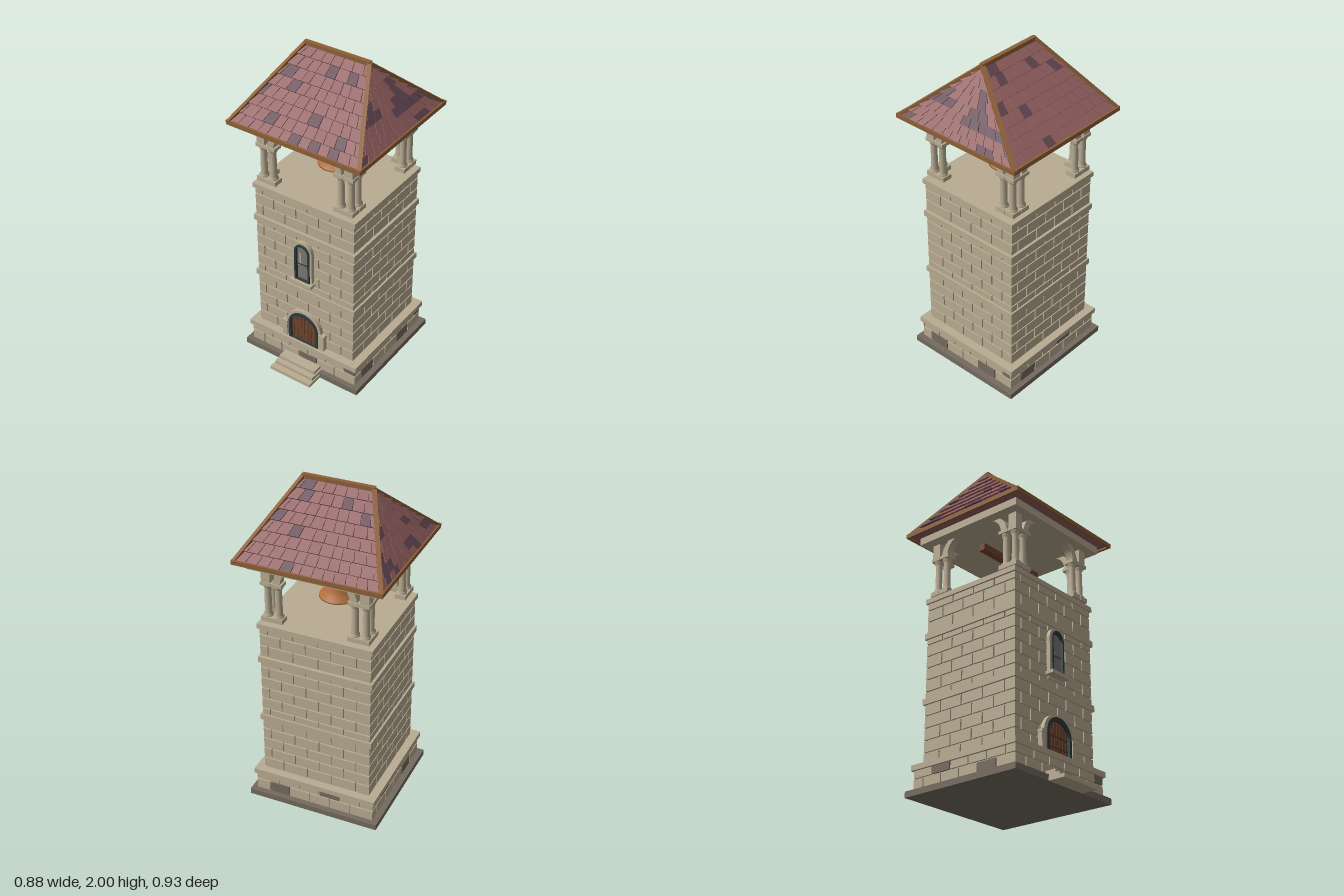
import * as THREE from 'three';
import { mergeGeometries } from 'three/addons/utils/BufferGeometryUtils.js';

const mat = (name, color) => {
  const m = new THREE.MeshStandardMaterial({ color });
  m.name = name;
  return m;
};

export function createModel() {
  const M = {
    stone: mat('stone', 0xb9ac92), dark: mat('darkStone', 0x756b5f),
    tile: mat('roofTile', 0x915e5e), purple: mat('purpleTile', 0x634653),
    trim: mat('roofTrim', 0x8e6038), bell: mat('copper', 0xb26f3e),
    wood: mat('redWood', 0x74432f), frame: mat('darkFrame', 0x2f3b3c),
    glass: mat('glass', 0x7a7770), iron: mat('clapperBrown', 0x5c4028),
  };
  const model = new THREE.Group();
  model.name = 'bellTower';
  const tower = new THREE.Group();
  tower.name = 'tower';
  tower.position.z = -0.03;
  model.add(tower);

  let seed = 11;
  const rand = () => (seed = (seed * 16807) % 2147483647) / 2147483647;
  const add = (name, geo, m, parent = tower) => {
    const mesh = new THREE.Mesh(geo, m);
    mesh.name = name;
    parent.add(mesh);
    return mesh;
  };
  // box given by its ranges on each axis
  const box = (x0, x1, y0, y1, z0, z1) =>
    new THREE.BoxGeometry(x1 - x0, y1 - y0, z1 - z0).translate((x0 + x1) / 2, (y0 + y1) / 2, (z0 + z1) / 2);
  const slab = (name, hx, hz, y0, y1, m) => add(name, box(-hx, hx, y0, y1, -hz, hz), m);

  // masonry: raised blocks with open joints on all four sides
  const masonry = (name, hx, hz, courses, width, darkList = []) => {
    const plain = [], dark = [], depth = 0.01, gap = 0.004;
    for (let side = 0; side < 4; side++) {
      const odd = side % 2, half = odd ? hz - depth : hx, dist = odd ? hx : hz;
      courses.forEach(([y0, y1], row) => {
        const joints = [-half];
        for (let u = 0.1 - width * 8 + (row % 2) * width * 0.5; u < half - 0.03; u += width)
          if (u > -half + 0.03) joints.push(u);
        joints.push(half);
        for (let i = 0; i + 1 < joints.length; i++) {
          const a = joints[i], b = joints[i + 1];
          const isDark = darkList.some(([s, r, u]) => s === side && r === row && u >= a && u < b);
          const g = box(a + (i ? gap : 0), b - (i + 2 < joints.length ? gap : 0),
            y0 + gap, y1 - gap, dist - depth, dist).rotateY(side * Math.PI / 2);
          (isDark ? dark : plain).push(g);
        }
      });
    }
    add(name + 'Blocks', mergeGeometries(plain), M.stone);
    if (dark.length) add(name + 'DarkBlocks', mergeGeometries(dark), M.dark);
  };

  // foundation and plinth
  slab('foundation', 0.41, 0.39, 0, 0.036, M.dark);
  slab('plinthCore', 0.365, 0.35, 0.036, 0.155, M.stone);
  masonry('plinth', 0.375, 0.36, [[0.036, 0.106], [0.106, 0.157]], 0.13, [
    [0, 1, 0.33], [0, 0, 0.04], [1, 0, -0.21], [1, 0, 0.16], [1, 1, 0.32],
    [2, 0, -0.25], [2, 1, 0.1], [3, 1, -0.2], [3, 0, 0.15]]);
  slab('plinthCap', 0.388, 0.372, 0.153, 0.185, M.stone);
  [[0.145, 0.495], [0.137, 0.458], [0.129, 0.425]].forEach(([hw, z], i) =>
    add('step', box(-hw, hw, i * 0.021, (i + 1) * 0.021, 0.34, z), M.stone));

  // tower walls with string courses
  slab('wallCore', 0.328, 0.317, 0.185, 1.199, M.stone);
  masonry('wall', 0.338, 0.327,
    Array.from({ length: 14 }, (_, i) => [0.185 + i * 0.0725, 0.185 + (i + 1) * 0.0725]), 0.155);
  for (const y of [0.541, 0.943, 1.17])
    slab('stringCourse', 0.35, 0.337, y, y + (y > 1 ? 0.03 : 0.036), M.stone);

  // arched openings
  const arch = (hw, y0, spring, top, C = THREE.Shape) => {
    const s = new C();
    s.moveTo(-hw, y0).lineTo(hw, y0).lineTo(hw, spring);
    s.absellipse(0, spring, hw, top - spring, 0, Math.PI, false);
    s.closePath();
    return s;
  };
  const archPlate = (name, outer, inner, z0, z1, m) => {
    const s = arch(...outer);
    if (inner) s.holes.push(arch(...inner, THREE.Path));
    const g = new THREE.ExtrudeGeometry(s, { depth: z1 - z0, bevelEnabled: false, curveSegments: 16 });
    add(name, g.translate(0, 0, z0), m);
  };
  // door
  archPlate('doorSurround', [0.125, 0.185, 0.295, 0.413], [0.104, 0.186, 0.295, 0.396], 0.31, 0.35, M.stone);
  archPlate('doorFrame', [0.106, 0.185, 0.295, 0.398], [0.09, 0.186, 0.295, 0.376], 0.31, 0.357, M.frame);
  archPlate('door', [0.092, 0.185, 0.295, 0.378], null, 0.31, 0.338, M.wood);
  for (let i = -3; i <= 3; i++) {
    const x = i * 0.025, top = 0.29 + 0.08 * Math.sqrt(1 - (x / 0.092) ** 2);
    add('plankSeam', box(x - 0.002, x + 0.002, 0.187, top, 0.336, 0.341), M.iron);
  }
  for (const y of [0.222, 0.284]) add('doorBand', box(-0.088, 0.088, y, y + 0.007, 0.337, 0.345), M.iron);
  for (const s of [-1, 1]) {
    add('doorPost', box(-0.016, 0.016, 0.185, 0.285, 0.31, 0.356).translate(s * 0.133, 0, 0), M.stone);
    add('doorPostCap', box(-0.02, 0.02, 0.28, 0.297, 0.31, 0.361).translate(s * 0.133, 0, 0), M.stone);
  }
  // window
  archPlate('windowSurround', [0.066, 0.655, 0.86, 0.929], [0.05, 0.656, 0.86, 0.912], 0.31, 0.35, M.stone);
  archPlate('windowFrame', [0.052, 0.655, 0.86, 0.914], [0.041, 0.662, 0.86, 0.9], 0.31, 0.358, M.frame);
  archPlate('windowGlass', [0.043, 0.655, 0.86, 0.902], null, 0.31, 0.338, M.glass);
  add('windowBar', box(-0.041, 0.041, 0.762, 0.768, 0.336, 0.342), M.frame);
  add('glassGlint', box(-0.026, -0.014, 0.77, 0.84, 0.336, 0.34), M.stone);
  add('windowSill', box(-0.076, 0.076, 0.638, 0.658, 0.31, 0.377), M.stone);

  // belfry corners: three columns, a post and two curved braces
  const brace = new THREE.Shape();
  brace.moveTo(0.25, 1.468).lineTo(0.208, 1.468).quadraticCurveTo(0.2, 1.54, 0.14, 1.562).lineTo(0.192, 1.562);
  brace.quadraticCurveTo(0.24, 1.54, 0.25, 1.468);
  const braceGeo = new THREE.ExtrudeGeometry(brace, { depth: 0.05, bevelEnabled: false });
  const sq = (h, y0, y1) => box(-h, h, y0, y1, -h, h);
  for (let k = 0; k < 4; k++) {
    const corner = new THREE.Group();
    corner.name = 'belfryCorner';
    corner.rotation.y = k * Math.PI / 2;
    tower.add(corner);
    for (const [x, z] of [[0.293, 0.293], [0.228, 0.293], [0.293, 0.228]]) {
      add('columnBase', sq(0.032, 1.222, 1.25).translate(x, 0, z), M.stone, corner);
      const shaft = new THREE.LatheGeometry([[0.028, 1.25], [0.028, 1.262], [0.021, 1.268], [0.019, 1.425],
        [0.025, 1.435], [0.027, 1.45]].map(p => new THREE.Vector2(...p)), 12);
      add('columnShaft', shaft.translate(x, 0, z), M.stone, corner);
      add('columnCap', sq(0.032, 1.45, 1.47).translate(x, 0, z), M.stone, corner);
    }
    add('post', sq(0.027, 1.468, 1.562).translate(0.293, 0, 0.293), M.stone, corner);
    add('brace', braceGeo.clone().translate(0, 0, 0.268), M.stone, corner);
    add('brace', braceGeo.clone().translate(0, 0, -0.318).rotateY(-Math.PI / 2), M.stone, corner);
  }

  // bell hung from a beam
  add('bellBeam', box(-0.245, 0.245, 1.455, 1.495, -0.021, 0.021), M.wood);
  add('beamStrap', box(-0.012, 0.012, 1.45, 1.502, -0.024, 0.024), M.iron);
  const bell = new THREE.LatheGeometry([[0, 1.35], [0.065, 1.35], [0.1, 1.29], [0.113, 1.29], [0.111, 1.298],
    [0.09, 1.32], [0.078, 1.35], [0.07, 1.39], [0.06, 1.425], [0.045, 1.447], [0, 1.457]]
    .map(p => new THREE.Vector2(...p)), 28);
  add('bell', bell, M.bell);
  add('clapperRod', new THREE.CylinderGeometry(0.007, 0.007, 0.08, 8).translate(0, 1.315, 0), M.iron);
  add('clapper', new THREE.SphereGeometry(0.02, 14, 10).translate(0, 1.275, 0), M.iron);

  // hipped roof
  slab('eavesSlab', 0.38, 0.37, 1.56, 1.606, M.stone);
  const V = (x, y, z) => new THREE.Vector3(x, y, z);
  const E = [V(-0.425, 1.614, 0.418), V(0.425, 1.614, 0.418), V(0.425, 1.614, -0.418), V(-0.425, 1.614, -0.418)];
  const R = [V(-0.205, 1.978, 0), V(0.205, 1.978, 0)];
  const faces = [[E[0], E[1], R[1], R[0]], [E[1], E[2], R[1], R[1]], [E[2], E[3], R[0], R[1]], [E[3], E[0], R[0], R[0]]];
  const tri = [];
  for (const [a, b, c, d] of faces) tri.push(a, b, c, a, c, d);
  tri.push(E[0], E[2], E[1], E[0], E[3], E[2]);
  const core = new THREE.BufferGeometry().setFromPoints(tri);
  core.computeVertexNormals();
  add('roofCore', core, M.tile);

  // overlapping tiles, thicker at the lower edge
  const tiles = { tile: [], purple: [] }, rows = 8;
  for (const [a, b, c, d] of faces) {
    const n = b.clone().sub(a).cross(d.clone().sub(a)).normalize();
    const at = (s, t) => a.clone().lerp(d, t).lerp(b.clone().lerp(c, t), s);
    let last = false;
    for (let r = 0; r < rows; r++) {
      const t0 = r / rows, t1 = (r + 1) / rows;
      const w = at(0, t0).distanceTo(at(1, t0)), count = Math.max(2, Math.round(w / 0.066));
      const cuts = [0];
      for (let i = 1; i <= count; i++) cuts.push((i - (r % 2 ? 0.5 : 0) + (rand() - 0.5) * 0.25) / count);
      if (r % 2) cuts.push(1); else cuts[count] = 1;
      for (let i = 0; i + 1 < cuts.length; i++) {
        const g = new THREE.BoxGeometry(1, 1, 1).toNonIndexed(), p = g.attributes.position;
        const s0 = cuts[i] + 0.0018 / w, s1 = cuts[i + 1] - 0.0018 / w;
        const thick = 0.012 + rand() * 0.003;
        for (let k = 0; k < p.count; k++) {
          const low = p.getY(k) < 0;
          const q = at(p.getX(k) < 0 ? s0 : s1, low ? t0 : t1);
          if (p.getZ(k) > 0) q.addScaledVector(n, low ? thick : 0.004);
          p.setXYZ(k, q.x, q.y, q.z);
        }
        g.computeVertexNormals();
        last = rand() < (last ? 0.4 : 0.17);
        tiles[last ? 'purple' : 'tile'].push(g);
      }
    }
  }
  add('roofTiles', mergeGeometries(tiles.tile), M.tile);
  add('purpleRoofTiles', mergeGeometries(tiles.purple), M.purple);

  // wooden trim on eaves, hips and ridge
  const bar = (name, a, b, w, h) => {
    const len = a.distanceTo(b) + 0.015;
    const mesh = add(name, new THREE.BoxGeometry(w, h, len), M.trim);
    mesh.quaternion.setFromRotationMatrix(new THREE.Matrix4().lookAt(b, a, V(0, 1, 0)));
    mesh.position.copy(a).add(b).multiplyScalar(0.5);
  };
  const lift = (v, y) => v.clone().add(V(0, y, 0));
  E.forEach((e, i) => {
    bar('eaveTrim', lift(e, 0.003).multiply(V(1.012, 1, 1.012)),
      lift(E[(i + 1) % 4], 0.003).multiply(V(1.012, 1, 1.012)), 0.016, 0.026);
    bar('hipTrim', lift(e, 0.006), lift(R[i === 1 || i === 2 ? 1 : 0], 0.008), 0.024, 0.022);
  });
  bar('ridgeTrim', lift(R[0], 0.01), lift(R[1], 0.01), 0.026, 0.024);

  return model;
}
